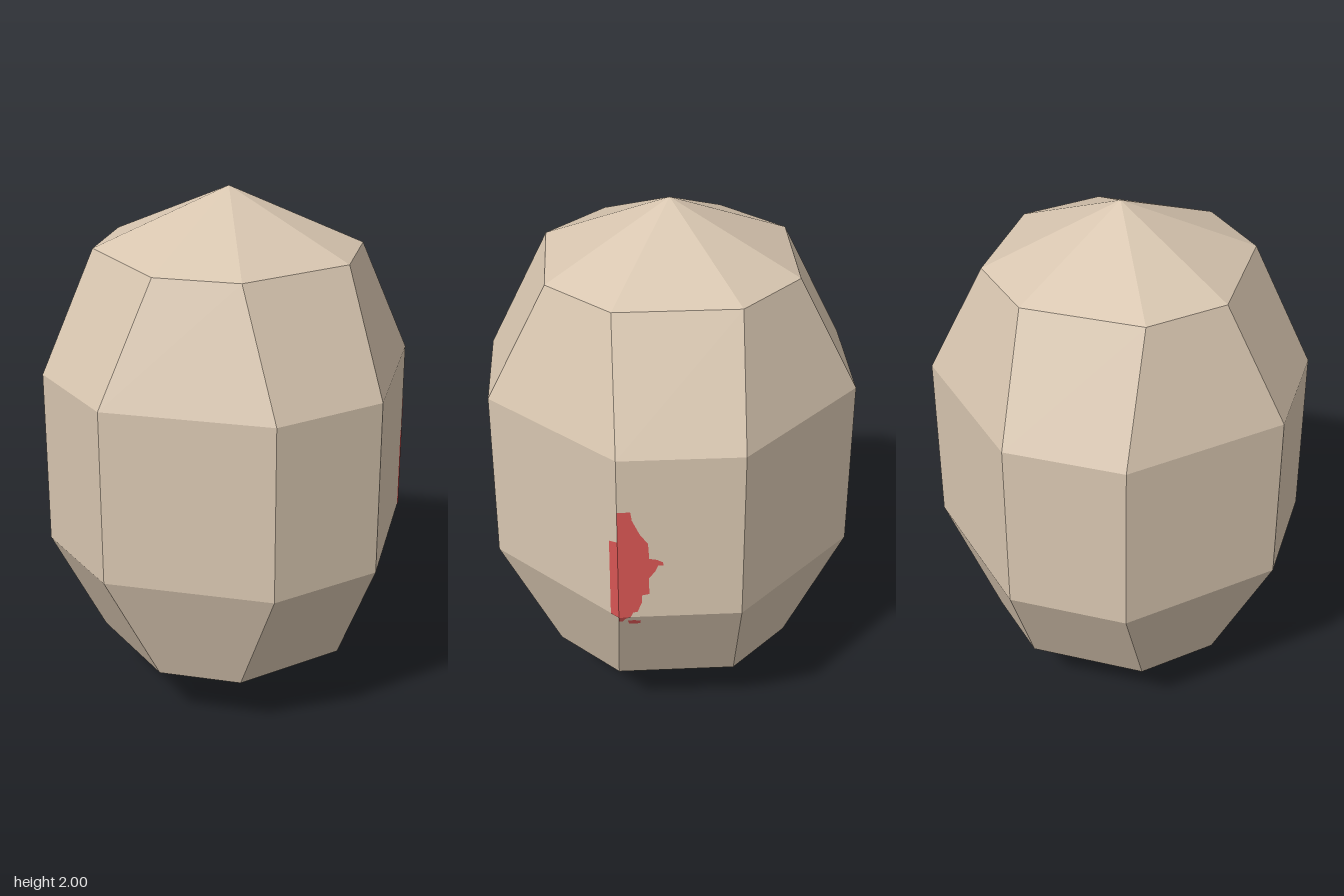
import * as THREE from 'three';

const HALF = 0.222; // half width of the straight sides
const WIDE = 0.667; // reach of the middle band
const NARROW = 0.445; // reach of the end rings

// Eight-sided ring, counter-clockwise from above, starting at the front
function ring(y, r) {
  return [[-HALF, r], [HALF, r], [r, HALF], [r, -HALF], [HALF, -r], [-HALF, -r], [-r, -HALF], [-r, HALF]]
    .map(([x, z]) => [x, y, z]);
}

// Faceted shell: quads between rings, closed by a pointed fan at each end
function shellGeometry() {
  const rings = [ring(0.222, NARROW), ring(0.667, WIDE), ring(1.333, WIDE), ring(1.778, NARROW)];
  const bottom = [0, 0, 0], top = [0, 2, 0], pos = [];
  const tri = (a, b, c) => pos.push(...a, ...b, ...c);
  for (let i = 0; i < 8; i++) {
    const j = (i + 1) % 8;
    tri(bottom, rings[0][j], rings[0][i]);
    for (let k = 0; k < 3; k++) {
      const lo = rings[k], hi = rings[k + 1];
      tri(lo[i], lo[j], hi[j]);
      tri(lo[i], hi[j], hi[i]);
    }
    tri(rings[3][i], rings[3][j], top);
  }
  const geo = new THREE.BufferGeometry();
  geo.setAttribute('position', new THREE.Float32BufferAttribute(pos, 3));
  geo.computeVertexNormals();
  return geo;
}

// Thin painted patch: an outline in (z, y) laid on the left side by xOf(z, y)
function patchGeometry(outline, xOf) {
  const geo = new THREE.ShapeGeometry(new THREE.Shape(outline.map(([z, y]) => new THREE.Vector2(-z, y))));
  const p = geo.attributes.position;
  for (let i = 0; i < p.count; i++) {
    const z = -p.getX(i), y = p.getY(i);
    p.setXYZ(i, xOf(z, y) + 0.002, y, z);
  }
  geo.computeVertexNormals();
  return geo;
}

export function createModel() {
  const shellMat = new THREE.MeshStandardMaterial({ color: 0xd8c6b0, flatShading: true });
  shellMat.name = 'beige shell';
  const redMat = new THREE.MeshStandardMaterial({ color: 0xd65553, flatShading: true, side: THREE.DoubleSide });
  redMat.name = 'red paint';

  const group = new THREE.Group();
  group.name = 'facetedEgg';
  const add = (name, geo, mat) => {
    const mesh = new THREE.Mesh(geo, mat);
    mesh.name = name;
    group.add(mesh);
  };

  add('shell', shellGeometry(), shellMat);

  // Ragged red splotch, split where it crosses the facet edges
  const flat = () => WIDE;
  const corner = (z) => WIDE - (z - HALF);
  const slope = (z, y) => WIDE - (0.667 - y) * 0.5;
  add('splotchSide', patchGeometry([
    [0.222, 0.667], [0.18, 0.667], [0.17, 0.69], [0.155, 0.69], [0.138, 0.735], [0.138, 0.765],
    [0.112, 0.77], [0.112, 0.84], [0.09, 0.87], [0.08, 0.895], [0.062, 0.895], [0.062, 0.908],
    [0.085, 0.92], [0.111, 0.925], [0.115, 0.99], [0.143, 1.03], [0.17, 1.09], [0.175, 1.125],
    [0.222, 1.125],
  ], flat), redMat);
  add('splotchCorner', patchGeometry([[0.25, 0.667], [0.222, 0.667], [0.222, 1], [0.25, 0.99]], corner), redMat);
  add('splotchDrip', patchGeometry([
    [0.222, 0.667], [0.222, 0.64], [0.208, 0.64], [0.2, 0.655], [0.185, 0.667],
  ], slope), redMat);
  add('splotchDrop', patchGeometry([
    [0.19, 0.645], [0.185, 0.62], [0.145, 0.62], [0.143, 0.64], [0.165, 0.645],
  ], slope), redMat);

  return group;
}
